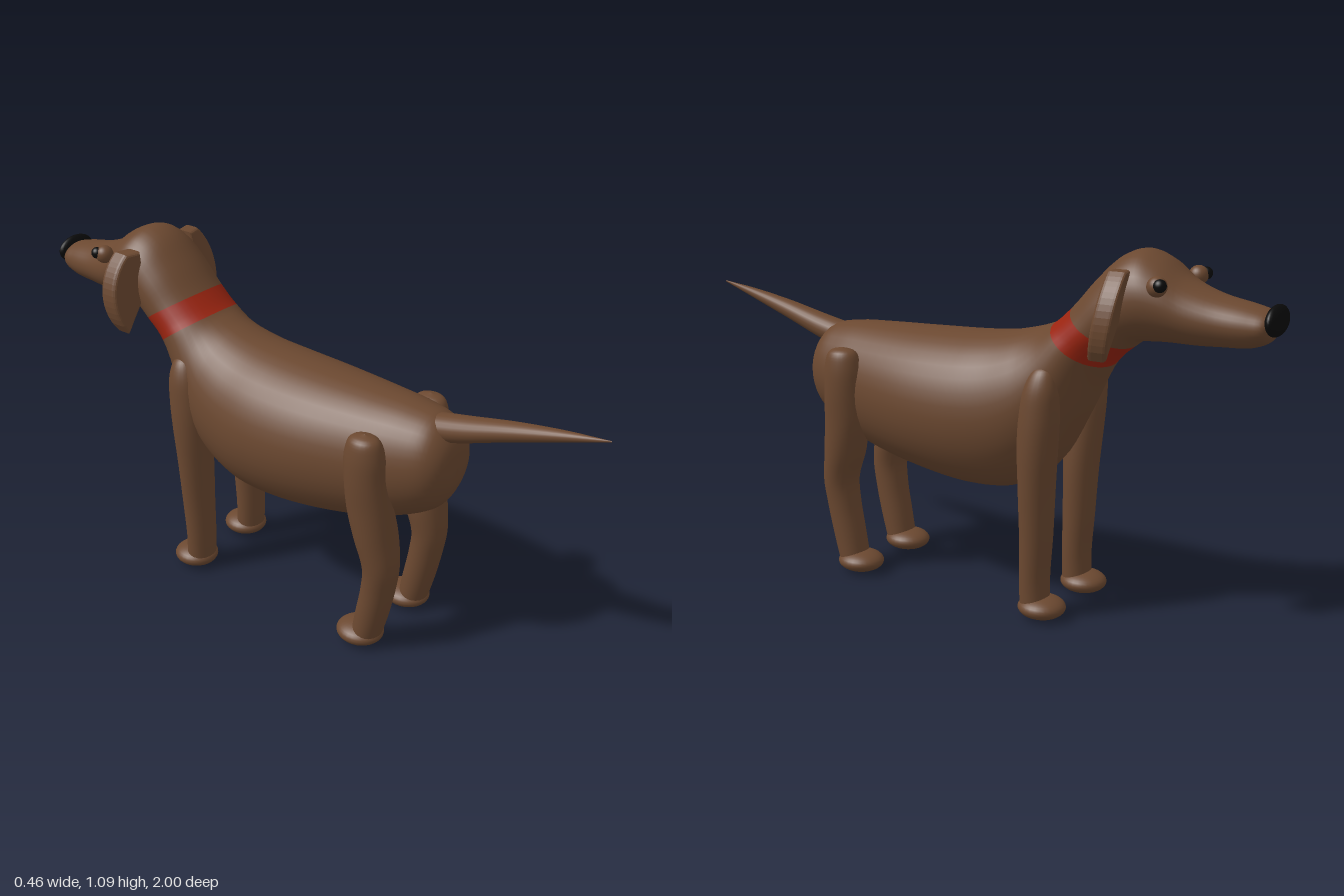
import * as THREE from 'three';

const mat = (name, color) => {
  const m = new THREE.MeshStandardMaterial({ color });
  m.name = name;
  return m;
};

// Smooth loft through oval sections [topZ, topY, bottomZ, bottomY, halfWidth].
// band = [first, last] section indices that use the second material.
function loft(sections, cx = 0, band = null, sides = 36, steps = 5) {
  const tops = new THREE.CatmullRomCurve3(sections.map(s => new THREE.Vector3(s[4], s[1], s[0])));
  const bottoms = new THREE.CatmullRomCurve3(sections.map(s => new THREE.Vector3(s[4], s[3], s[2])));
  const rows = (sections.length - 1) * steps;
  const pos = [], idx = [];
  for (let i = 0; i <= rows; i++) {
    const t = tops.getPoint(i / rows), b = bottoms.getPoint(i / rows);
    const w = Math.max(t.x, 0.0005);
    for (let j = 0; j < sides; j++) {
      const a = (j / sides) * Math.PI * 2, k = (1 + Math.sin(a)) / 2;
      pos.push(cx + w * Math.cos(a), b.y + (t.y - b.y) * k, b.z + (t.z - b.z) * k);
    }
  }
  for (let i = 0; i < rows; i++) {
    for (let j = 0; j < sides; j++) {
      const n = (j + 1) % sides, p = i * sides, q = p + sides;
      idx.push(p + j, q + j, p + n, q + j, q + n, p + n);
    }
  }
  const g = new THREE.BufferGeometry();
  g.setAttribute('position', new THREE.Float32BufferAttribute(pos, 3));
  g.setIndex(idx);
  g.computeVertexNormals();
  if (band) {
    const per = sides * 6 * steps, [a, b] = band;
    g.addGroup(0, a * per, 0);
    g.addGroup(a * per, (b - a) * per, 1);
    g.addGroup(b * per, idx.length - b * per, 0);
  }
  return g;
}

// Leg sections [y, centre z, half depth, half width, centre x], bottom to top
function leg(rows) {
  const g = loft(rows.map(([y, z, d, w]) => [z + d, y, z - d, y, w]), 0, null, 24);
  const p = g.attributes.position;
  const path = new THREE.CatmullRomCurve3(rows.map(r => new THREE.Vector3(r[4], r[0], 0)));
  const rings = p.count / 24 - 1;
  for (let i = 0; i < p.count; i++) p.setX(i, p.getX(i) + path.getPoint(Math.floor(i / 24) / rings).x);
  g.computeVertexNormals();
  return g;
}

export function createModel() {
  const dog = new THREE.Group();
  dog.name = 'dog';
  const brown = mat('brown coat', 0x6b4830);
  const red = mat('red collar', 0x9a2410);
  const black = mat('black', 0x0a0a0a);

  const add = (name, geo, material, parent = dog) => {
    const m = new THREE.Mesh(geo, material);
    m.name = name;
    parent.add(m);
    return m;
  };
  const ball = (name, material, x, y, z, rx, ry = rx, rz = rx, parent = dog) => {
    const m = add(name, new THREE.SphereGeometry(1, 28, 18), material, parent);
    m.position.set(x, y, z);
    m.scale.set(rx, ry, rz);
    return m;
  };

  // Rump, trunk, neck, collar band, head and muzzle in one skin
  add('bodyAndHead', loft([
    [0.555, 0.65, 0.555, 0.63, 0],
    [0.545, 0.72, 0.545, 0.56, 0.075],
    [0.50, 0.775, 0.51, 0.495, 0.12],
    [0.42, 0.793, 0.42, 0.44, 0.15],
    [0.30, 0.80, 0.30, 0.395, 0.178],
    [0.10, 0.807, 0.10, 0.355, 0.212],
    [-0.07, 0.815, -0.07, 0.34, 0.218],
    [-0.17, 0.825, -0.20, 0.355, 0.206],
    [-0.25, 0.842, -0.32, 0.43, 0.187],
    [-0.295, 0.855, -0.41, 0.58, 0.165],
    [-0.335, 0.872, -0.50, 0.755, 0.148],
    [-0.395, 0.925, -0.565, 0.815, 0.145],
    [-0.47, 1.01, -0.60, 0.838, 0.145],
    [-0.54, 1.075, -0.64, 0.843, 0.143],
    [-0.60, 1.095, -0.68, 0.845, 0.138],
    [-0.66, 1.075, -0.72, 0.845, 0.127],
    [-0.73, 1.025, -0.77, 0.845, 0.11],
    [-0.82, 0.99, -0.83, 0.848, 0.093],
    [-0.92, 0.97, -0.92, 0.855, 0.078],
    [-0.97, 0.955, -0.965, 0.875, 0.062],
    [-0.985, 0.93, -0.985, 0.925, 0],
  ], 0, [10, 11]), [brown, red]);

  // Tail, from tip to root
  add('tail', loft([
    [1.0, 0.872, 1.0, 0.868, 0],
    [0.87, 0.857, 0.86, 0.822, 0.018],
    [0.72, 0.832, 0.70, 0.768, 0.034],
    [0.57, 0.80, 0.54, 0.712, 0.046],
    [0.46, 0.778, 0.44, 0.69, 0.05],
  ], 0, null, 24), brown);

  ball('nose', black, 0, 0.933, -0.978, 0.07, 0.043, 0.022);

  const rearLeg = [
    [0.03, 0.345, 0.045, 0.052, 0.125],
    [0.12, 0.365, 0.05, 0.054, 0.125],
    [0.22, 0.385, 0.051, 0.057, 0.126],
    [0.30, 0.393, 0.053, 0.062, 0.128],
    [0.40, 0.373, 0.064, 0.071, 0.13],
    [0.50, 0.357, 0.07, 0.066, 0.142],
    [0.60, 0.35, 0.066, 0.06, 0.155],
    [0.68, 0.348, 0.062, 0.052, 0.161],
    [0.725, 0.348, 0.045, 0.036, 0.165],
    [0.74, 0.348, 0.002, 0, 0.165],
  ];
  const frontLeg = [
    [0.03, -0.335, 0.043, 0.052, 0.125],
    [0.12, -0.332, 0.043, 0.054, 0.125],
    [0.25, -0.336, 0.047, 0.058, 0.126],
    [0.40, -0.338, 0.052, 0.064, 0.13],
    [0.52, -0.342, 0.058, 0.064, 0.136],
    [0.62, -0.348, 0.06, 0.058, 0.14],
    [0.70, -0.355, 0.052, 0.046, 0.143],
    [0.75, -0.36, 0.03, 0.026, 0.14],
    [0.765, -0.36, 0.002, 0, 0.138],
  ];

  for (const s of [1, -1]) {
    const side = s > 0 ? 'left' : 'right';
    const flip = rows => rows.map(r => [r[0], r[1], r[2], r[3], r[4] * s]);

    add(side + 'RearLeg', leg(flip(rearLeg)), brown);
    ball(side + 'RearPaw', brown, s * 0.125, 0.036, 0.322, 0.07, 0.034, 0.075);
    add(side + 'FrontLeg', leg(flip(frontLeg)), brown);
    ball(side + 'FrontPaw', brown, s * 0.125, 0.036, -0.358, 0.07, 0.034, 0.072);

    // Hanging ear: flat flap leaning back towards its tip
    const flap = new THREE.Shape();
    flap.moveTo(s * 0.12, 1.04);
    flap.lineTo(s * 0.158, 1.04);
    flap.bezierCurveTo(s * 0.205, 1.0, s * 0.252, 0.91, s * 0.198, 0.82);
    flap.bezierCurveTo(s * 0.175, 0.86, s * 0.135, 0.9, s * 0.125, 0.94);
    flap.closePath();
    const ear = new THREE.ExtrudeGeometry(flap, {
      depth: 0.035, bevelThickness: 0.012, bevelSize: 0.008, bevelSegments: 3, curveSegments: 14,
    });
    const p = ear.attributes.position;
    for (let i = 0; i < p.count; i++) {
      p.setZ(i, p.getZ(i) - 0.612 + (1.05 - p.getY(i)) * 0.18 - (Math.abs(p.getX(i)) - 0.17) * 0.25);
    }
    ear.computeVertexNormals();
    add(side + 'Ear', ear, brown);

    // Bulging eye with dark pupil
    ball(side + 'Eye', brown, s * 0.13, 1.013, -0.695, 0.028);
    ball(side + 'Pupil', black, s * 0.146, 1.018, -0.711, 0.018);
  }
  return dog;
}
